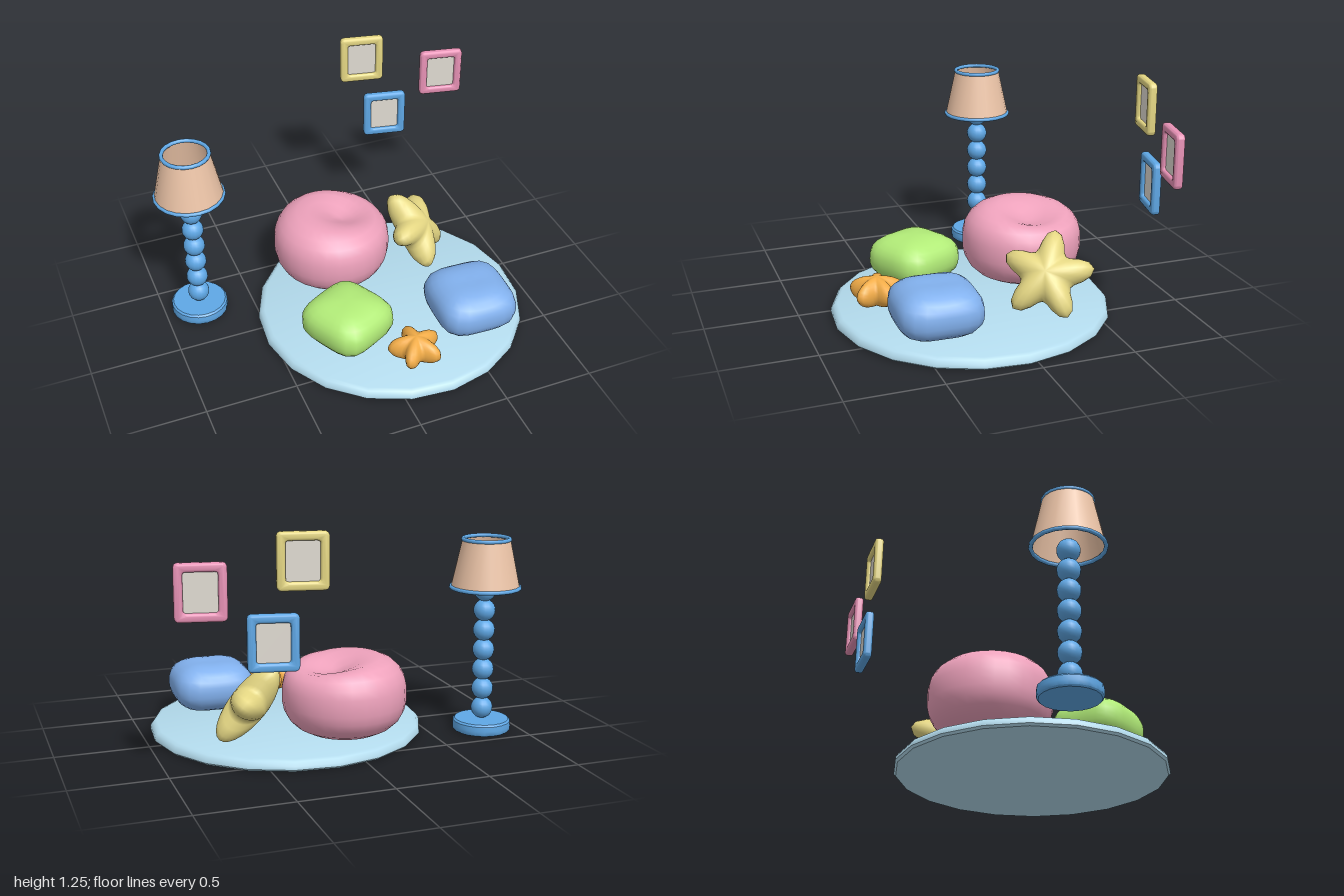
import * as THREE from 'three';
import { mergeVertices, toCreasedNormals } from 'three/addons/utils/BufferGeometryUtils.js';

const BLUE = 0x5fa8e6, PINK = 0xe892b6, YELLOW = 0xe6d884;

function mesh(name, geometry, color, parent, x = 0, y = 0, z = 0) {
  const material = new THREE.MeshStandardMaterial({ color });
  const m = new THREE.Mesh(geometry, material);
  m.name = name;
  m.position.set(x, y, z);
  parent.add(m);
  return m;
}

// Moves the vertices of a unit sphere by a rule and smooths the result.
function shapedSphere(widthSegments, heightSegments, rule) {
  const g = new THREE.SphereGeometry(1, widthSegments, heightSegments);
  g.deleteAttribute('uv');
  g.deleteAttribute('normal');
  const p = g.attributes.position, v = new THREE.Vector3();
  for (let i = 0; i < p.count; i++) {
    v.fromBufferAttribute(p, i);
    rule(v);
    p.setXYZ(i, v.x, v.y, v.z);
  }
  const merged = mergeVertices(g, 1e-4);
  merged.computeVertexNormals();
  return merged;
}

// Stuffed form: plan sets how square it is from above, side how square in profile.
function stuffed(w, h, d, plan, side, dip = null) {
  return shapedSphere(28, 16, (v) => {
    const r = (Math.abs(v.x) ** plan + Math.abs(v.z) ** plan) ** (1 / plan);
    const n = (r ** side + Math.abs(v.y) ** side) ** (1 / side);
    v.divideScalar(n).multiply(new THREE.Vector3(w, h, d));
    if (dip && v.y > 0) {
      const q = ((v.x - dip.x) ** 2 + (v.z - dip.z) ** 2) / dip.size ** 2;
      v.y -= dip.depth * Math.exp(-q) * (v.y / h);
    }
  });
}

// Puffy five-armed star lying in the xz plane, one tip toward -z.
function puffyStar(radius, halfThickness) {
  return shapedSphere(40, 14, (v) => {
    const t = (1 + Math.cos(5 * Math.atan2(v.x, -v.z))) / 2;
    const r = radius * (0.56 + 0.44 * t ** 1.15);
    v.set(v.x * r, v.y * halfThickness, v.z * r);
  });
}

function lathe(points, segments) {
  const g = new THREE.LatheGeometry(points.map(([x, y]) => new THREE.Vector2(x, y)), segments);
  return toCreasedNormals(g, 0.7);
}

function roundedRect(path, w, h, r) {
  const x = w / 2, y = h / 2;
  path.moveTo(-x + r, -y);
  path.lineTo(x - r, -y).quadraticCurveTo(x, -y, x, -y + r);
  path.lineTo(x, y - r).quadraticCurveTo(x, y, x - r, y);
  path.lineTo(-x + r, y).quadraticCurveTo(-x, y, -x, y - r);
  path.lineTo(-x, -y + r).quadraticCurveTo(-x, -y, -x + r, -y);
  return path;
}

function pictureFrame(name, color, x, y, z) {
  const group = new THREE.Group();
  group.name = name;
  const bevel = 0.014;
  const shape = roundedRect(new THREE.Shape(), 0.25 - 2 * bevel, 0.28 - 2 * bevel, 0.012);
  shape.holes.push(roundedRect(new THREE.Path(), 0.163 + 2 * bevel, 0.193 + 2 * bevel, 0.03));
  const g = new THREE.ExtrudeGeometry(shape, {
    depth: 0.018, bevelThickness: bevel, bevelSize: bevel, bevelSegments: 4, curveSegments: 5,
  });
  g.translate(0, 0, -0.009);
  mesh('frameBorder', toCreasedNormals(g, 0.8), color, group);
  mesh('framePanel', new THREE.BoxGeometry(0.185, 0.215, 0.008), 0xe0dbd2, group);
  group.position.set(x, y, z);
  group.rotation.y = -0.2;
  return group;
}

function floorLamp() {
  const lamp = new THREE.Group();
  lamp.name = 'floorLamp';
  mesh('lampBase', lathe([[0, 0], [0.15, 0], [0.158, 0.008], [0.16, 0.03],
    [0.158, 0.055], [0.148, 0.065], [0, 0.065]], 20), BLUE, lamp);
  // Stem of stacked balls
  for (let i = 0; i < 7; i++) {
    mesh('stemBall', new THREE.SphereGeometry(0.06, 16, 12), BLUE, lamp, 0, 0.125 + i * 0.11, 0);
  }
  const shade = mesh('lampShade', new THREE.CylinderGeometry(0.13, 0.187, 0.262, 20, 1, true),
    0xedc5a8, lamp, 0, 0.934, 0);
  shade.material.side = THREE.DoubleSide;
  for (const [r, y] of [[0.186, 0.804], [0.126, 1.066]]) {
    mesh('shadeRim', new THREE.TorusGeometry(r, 0.011, 8, 20), BLUE, lamp, 0, y, 0).rotation.x = Math.PI / 2;
  }
  lamp.position.set(-0.8, 0, -0.305);
  return lamp;
}

export function createModel() {
  const model = new THREE.Group();
  model.name = 'cosyCorner';

  // Round rug
  const rug = mesh('rug', lathe([[0, 0], [0.74, 0], [0.752, 0.012], [0.75, 0.03],
    [0.735, 0.05], [0.715, 0.058], [0, 0.058]], 20), 0xb4dcee, model, 0.21, 0, 0.1);
  rug.rotation.y = 0.07;

  // Seat and cushions
  mesh('beanbag', stuffed(0.332, 0.228, 0.332, 2, 2.6, { x: 0.09, z: -0.02, size: 0.17, depth: 0.11 }),
    0xeea2bc, model, 0.003, 0.285, -0.28);
  const green = mesh('greenCushion', stuffed(0.208, 0.134, 0.212, 4.2, 2.5),
    0xb2ec78, model, -0.13, 0.2, 0.308);
  green.rotation.y = 0.47;
  const blue = mesh('blueCushion', stuffed(0.224, 0.14, 0.226, 4, 2.5, { x: 0, z: 0, size: 0.1, depth: 0.015 }),
    0x82b1ee, model, 0.56, 0.203, 0.407);
  blue.rotation.y = -0.03;

  // Star cushions: one flat on the rug, one leaning on the beanbag
  mesh('smallStarCushion', puffyStar(0.152, 0.08), 0xf3ad48, model, 0.147, 0.148, 0.603);
  const star = mesh('largeStarCushion', puffyStar(0.25, 0.1), YELLOW, model, 0.508, 0.258, -0.225);
  const normal = new THREE.Vector3(0.68, 0.6, 0.425).normalize();
  const back = new THREE.Vector3(0.466, -0.8, 0.38).projectOnPlane(normal).normalize();
  const side = new THREE.Vector3().crossVectors(normal, back);
  star.quaternion.setFromRotationMatrix(new THREE.Matrix4().makeBasis(side, normal, back));

  model.add(floorLamp());

  // Wall pictures
  model.add(pictureFrame('yellowFrame', YELLOW, 0.406, 1.105, -0.813));
  model.add(pictureFrame('pinkFrame', PINK, 0.873, 0.97, -0.72));
  model.add(pictureFrame('blueFrame', BLUE, 0.544, 0.718, -0.785));
  return model;
}
